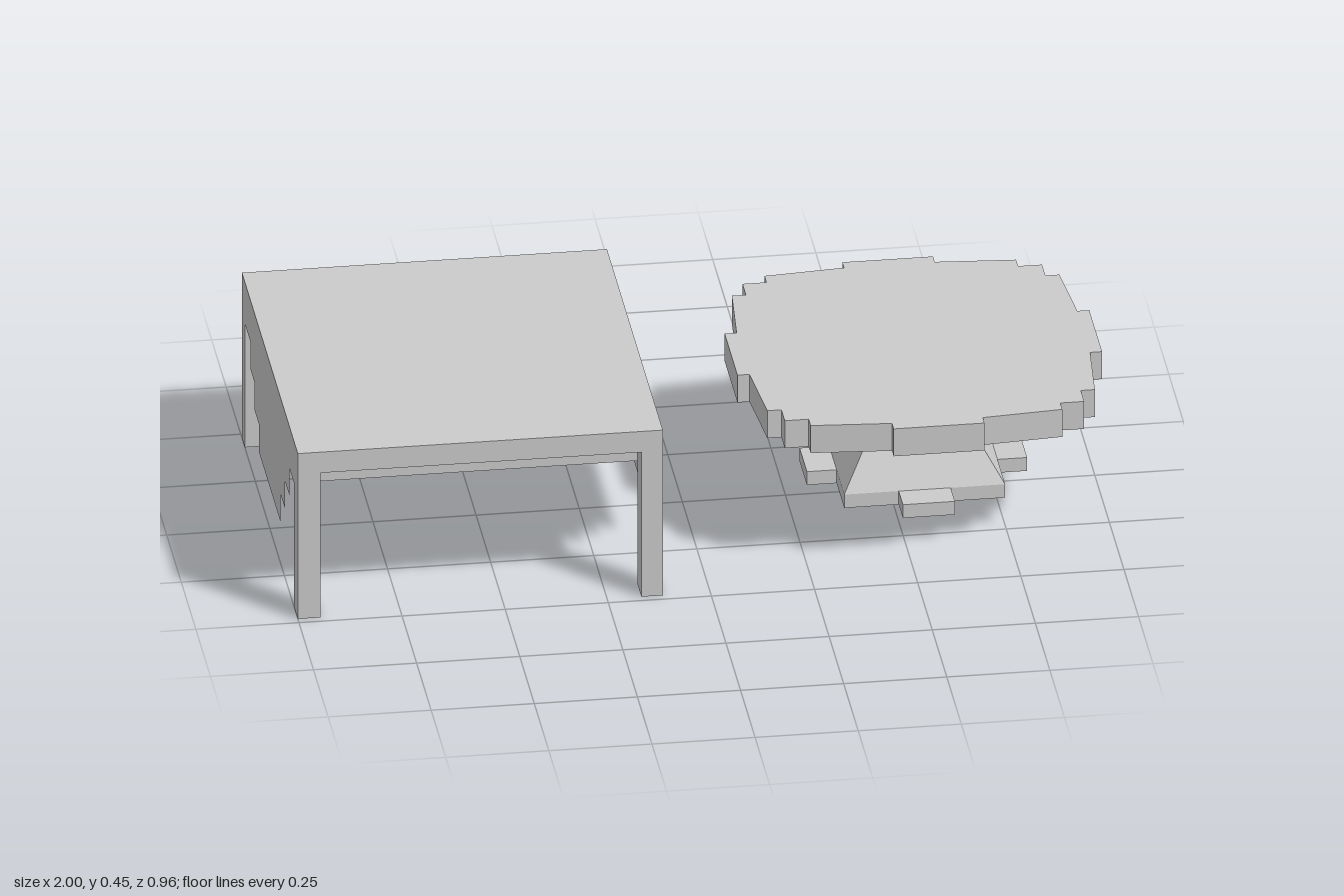
import * as THREE from 'three';

const material = new THREE.MeshStandardMaterial({ color: 0xcccccc, flatShading: true, side: THREE.DoubleSide });

function add(parent, name, geometry) {
  const mesh = new THREE.Mesh(geometry, material);
  mesh.name = name;
  parent.add(mesh);
  return mesh;
}

// Box given by its limits on each axis
function box(parent, name, [x0, x1], [y0, y1], [z0, z1]) {
  const mesh = add(parent, name, new THREE.BoxGeometry(x1 - x0, y1 - y0, z1 - z0));
  mesh.position.set((x0 + x1) / 2, (y0 + y1) / 2, (z0 + z1) / 2);
  return mesh;
}

// Upright slab from an outline whose quarter is repeated four times around the centre
function slab(parent, name, quarter, y0, y1) {
  const points = [];
  for (let i = 0; i < 4; i++) {
    for (const [x, y] of quarter) {
      points.push(new THREE.Vector2(x, y).rotateAround(new THREE.Vector2(), i * Math.PI / 2));
    }
  }
  const geometry = new THREE.ExtrudeGeometry(new THREE.Shape(points), { depth: y1 - y0, bevelEnabled: false });
  geometry.rotateX(-Math.PI / 2).translate(0, y0, 0);
  return add(parent, name, geometry);
}

function squareTable() {
  const table = new THREE.Group();
  table.name = 'squareTable';
  const xs = [-1, -0.115];
  box(table, 'tableTop', xs, [0.39, 0.446], [-0.48, 0.48]);
  box(table, 'apron', xs, [0.334, 0.39], [-0.43, 0.415]);

  // Hollow legs, open at the floor
  for (const x of [[-1, -0.945], [-0.167, -0.115]]) {
    for (const z of [[-0.48, -0.43], [0.415, 0.48]]) {
      const leg = box(table, z[0] > 0 ? 'frontLeg' : 'backLeg', x, [0, 0.39], z);
      const index = Array.from(leg.geometry.index.array);
      index.splice(18, 6);
      leg.geometry.setIndex(index);
      leg.geometry.clearGroups();
    }
  }

  // Stepped cloth hanging flush with both sides
  const half = [[0.335, 0.334], [0.335, 0.26], [0.26, 0.26], [0.26, 0.186], [0.186, 0.186], [0.186, 0.111]];
  const outline = [...half, ...half.map(([z, y]) => [-z, y]).reverse()];
  const cloth = new THREE.Shape(outline.map(([z, y]) => new THREE.Vector2(z, y)));
  for (const x of xs) {
    const side = add(table, 'hangingCloth', new THREE.ShapeGeometry(cloth));
    side.rotation.y = Math.PI / 2;
    side.position.x = x;
  }
  return table;
}

function pedestalTable() {
  const table = new THREE.Group();
  table.name = 'pedestalTable';
  table.position.set(0.555, 0, 0.036);

  // Stepped, nearly round top
  slab(table, 'roundTop', [
    [0.442, -0.11], [0.442, 0.11], [0.413, 0.11], [0.397, 0.305], [0.363, 0.305],
    [0.363, 0.363], [0.305, 0.363], [0.305, 0.397], [0.11, 0.413],
  ], 0.334, 0.408);
  box(table, 'collar', [-0.167, 0.167], [0.299, 0.334], [-0.167, 0.167]);

  // Tapered square pedestal
  const pedestal = new THREE.CylinderGeometry(0.083 * Math.SQRT2, 0.195 * Math.SQRT2, 0.188, 4, 1);
  pedestal.rotateY(Math.PI / 4).translate(0, 0.205, 0);
  add(table, 'pedestal', pedestal);

  // Square foot with a tab on each side
  slab(table, 'foot', [
    [0.267, -0.063], [0.267, 0.063], [0.195, 0.063], [0.195, 0.195], [0.063, 0.195],
  ], 0.075, 0.111);
  return table;
}

export function createModel() {
  const model = new THREE.Group();
  model.name = 'tables';
  model.add(squareTable(), pedestalTable());
  return model;
}
